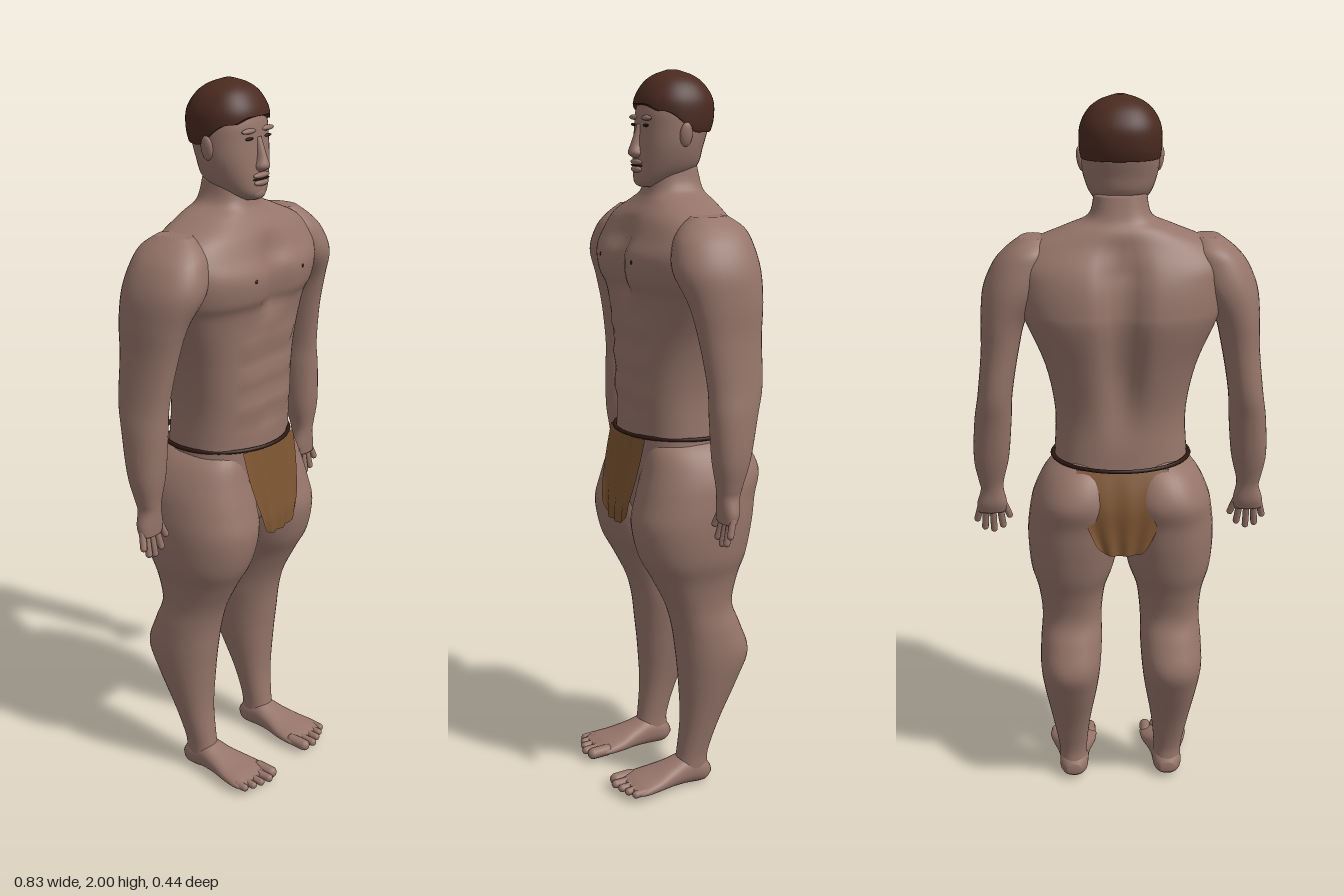
import * as THREE from 'three';

const mat = (name, color, side = THREE.FrontSide) => {
  const m = new THREE.MeshStandardMaterial({ color, side });
  m.name = name;
  return m;
};

// Uniform Catmull-Rom through one column of the section rows
function spline(rows, col, u) {
  const i = Math.min(Math.floor(u), rows.length - 2), f = u - i;
  const at = k => rows[Math.max(0, Math.min(rows.length - 1, k))][col];
  const a = at(i - 1), b = at(i), c = at(i + 1), d = at(i + 2);
  return b + 0.5 * f * (c - a + f * (2 * a - 5 * b + 4 * c - d + f * (3 * (b - c) + d - a)));
}

// Rows are [t, x0, x1, b0, b1]; t runs along y (b is z), or along z (b is y) if alongZ.
function loft(rows, { power = 2.2, sides = 36, steps = 5, alongZ = false, mirror = false, warp } = {}) {
  rows = [...rows].sort((p, q) => p[0] - q[0]);
  const pos = [], index = [], n = (rows.length - 1) * steps;
  const se = v => Math.sign(v) * Math.abs(v) ** (2 / power);
  for (let j = -1; j <= n + 1; j++) {
    const u = Math.max(0, Math.min(n, j)) / steps;
    const k = j < 0 || j > n ? 0.001 : 1; // closing rings
    const [t, x0, x1, b0, b1] = [0, 1, 2, 3, 4].map(c => spline(rows, c, u));
    for (let i = 0; i < sides; i++) {
      const a = (i / sides) * Math.PI * 2;
      const x = (x0 + x1) / 2 + (k * (x1 - x0) / 2) * se(Math.cos(a));
      const b = (b0 + b1) / 2 + (k * (b1 - b0) / 2) * se(Math.sin(a));
      let p = alongZ ? [x, b, t] : [x, t, b];
      if (warp) p = warp(...p);
      pos.push(mirror ? -p[0] : p[0], p[1], p[2]);
    }
  }
  const flip = alongZ !== mirror;
  for (let j = 0; j < n + 2; j++) for (let i = 0; i < sides; i++) {
    const a = j * sides + i, b = j * sides + (i + 1) % sides, c = a + sides, d = b + sides;
    index.push(...(flip ? [a, b, c, b, d, c] : [a, c, b, b, c, d]));
  }
  const g = new THREE.BufferGeometry();
  g.setAttribute('position', new THREE.Float32BufferAttribute(pos, 3));
  g.setIndex(index);
  g.computeVertexNormals();
  return g;
}

// Sections symmetric about x = 0: [y, halfWidth, back, front]
const sym = rows => rows.map(([y, w, b, f]) => [y, -w, w, b, f]);
const smooth = THREE.MathUtils.smoothstep;

export function createModel() {
  const model = new THREE.Group();
  const skin = mat('skin', 0x96756a), hair = mat('hair', 0x4a2a20);
  const cloth = mat('cloth', 0x7d5532, THREE.DoubleSide), dark = mat('dark cord', 0x2c1710);
  const add = (name, geo, m) => {
    const mesh = new THREE.Mesh(geo, m);
    mesh.name = name;
    model.add(mesh);
    return mesh;
  };
  const ball = (name, m, p, r) => {
    const mesh = add(name, new THREE.SphereGeometry(1, 16, 12), m);
    mesh.position.set(...p);
    mesh.scale.set(...r);
    return mesh;
  };
  // Rounded digit between two points
  const digit = (name, from, to, r) => {
    const a = new THREE.Vector3(...from), b = new THREE.Vector3(...to), d = b.clone().sub(a);
    const mesh = add(name, new THREE.CapsuleGeometry(r, d.length(), 5, 10), skin);
    mesh.position.copy(a).add(b).multiplyScalar(0.5);
    mesh.quaternion.setFromUnitVectors(new THREE.Vector3(0, 1, 0), d.normalize());
  };

  // Torso and neck, with breastbone, spine and belly modelling
  add('torso', loft(sym([
    [0.74, 0.02, -0.05, 0.03], [0.8, 0.1, -0.11, 0.09], [0.88, 0.16, -0.14, 0.11],
    [0.95, 0.19, -0.165, 0.115], [1.04, 0.183, -0.16, 0.115], [1.16, 0.18, -0.155, 0.12],
    [1.29, 0.205, -0.175, 0.12], [1.41, 0.255, -0.197, 0.127], [1.46, 0.275, -0.196, 0.146],
    [1.52, 0.285, -0.185, 0.15], [1.57, 0.285, -0.165, 0.125], [1.62, 0.24, -0.135, 0.1],
    [1.66, 0.15, -0.118, 0.07], [1.69, 0.085, -0.1, 0.055], [1.75, 0.07, -0.085, 0.045],
  ]), {
    power: 2.5, sides: 72,
    warp: (x, y, z) => {
      const g = Math.exp(-((x / 0.045) ** 2));
      const chest = smooth(y, 1.36, 1.46) * (1 - smooth(y, 1.54, 1.64));
      const belly = smooth(y, 1.06, 1.12) * (1 - smooth(y, 1.32, 1.4));
      const spine = smooth(y, 1.06, 1.3) * (1 - smooth(y, 1.54, 1.66));
      if (z > 0.03) z -= g * (0.03 * chest + 0.008 * belly) + (Math.abs(x) < 0.12 ? 0.004 * belly * Math.sin(y * 70) : 0);
      if (z < -0.05) z += g * 0.045 * spine;
      return [x, y, z];
    },
  }), skin);

  // Head and hair
  add('head', loft(sym([
    [1.697, 0.025, 0.02, 0.07], [1.715, 0.055, -0.03, 0.084], [1.75, 0.082, -0.085, 0.084],
    [1.8, 0.099, -0.1, 0.08], [1.85, 0.103, -0.114, 0.076], [1.9, 0.1, -0.12, 0.071],
    [1.95, 0.08, -0.1, 0.048], [1.98, 0.04, -0.06, 0.01],
  ])), skin);
  add('hair', loft(sym([
    [1.83, 0.102, -0.117, 0.07], [1.87, 0.108, -0.13, 0.077], [1.92, 0.106, -0.13, 0.078],
    [1.96, 0.086, -0.108, 0.058], [1.985, 0.055, -0.077, 0.03], [2.0, 0.012, -0.035, -0.01],
  ]), {
    sides: 48, steps: 8,
    warp: (x, y, z) => [x, Math.max(y, 1.84 + 0.055 * smooth(z, -0.05, 0.04) + 0.018 * smooth(z, 0.05, 0.075)), z],
  }), hair);

  // Face
  add('nose', loft([
    [1.772, -0.012, 0.012, 0.06, 0.088], [1.785, -0.022, 0.022, 0.06, 0.104],
    [1.81, -0.014, 0.014, 0.06, 0.097], [1.86, -0.01, 0.01, 0.05, 0.079],
  ], { sides: 16 }), skin);
  ball('upperLip', skin, [0, 1.762, 0.082], [0.034, 0.008, 0.009]);
  ball('lowerLip', skin, [0, 1.743, 0.082], [0.03, 0.009, 0.01]);
  ball('mouthLine', dark, [0, 1.753, 0.082], [0.036, 0.003, 0.0085]);
  ball('chin', skin, [0, 1.716, 0.07], [0.03, 0.018, 0.016]);

  // Limbs and paired details
  const legRows = [
    [1.05, 0.05, 0.14, -0.12, 0.06], [1.0, 0.015, 0.205, -0.185, 0.095], [0.93, 0, 0.243, -0.22, 0.115],
    [0.86, -0.003, 0.257, -0.205, 0.135], [0.79, 0.002, 0.262, -0.195, 0.15], [0.7, 0.02, 0.255, -0.175, 0.132],
    [0.63, 0.045, 0.235, -0.15, 0.095], [0.55, 0.055, 0.225, -0.135, 0.055], [0.48, 0.055, 0.23, -0.16, 0.035],
    [0.4, 0.06, 0.232, -0.185, 0.025], [0.32, 0.07, 0.222, -0.155, 0.017], [0.2, 0.09, 0.2, -0.1, 0.012],
    [0.1, 0.1, 0.183, -0.068, 0.022], [0.05, 0.1, 0.18, -0.068, 0.03], [0.015, 0.108, 0.172, -0.06, 0.02],
  ];
  const footRows = [
    [-0.075, 0.12, 0.16, 0.02, 0.05], [-0.05, 0.1, 0.18, 0.004, 0.08], [0, 0.095, 0.182, 0.004, 0.092],
    [0.05, 0.087, 0.19, 0.006, 0.075], [0.1, 0.073, 0.203, 0.008, 0.058], [0.15, 0.068, 0.211, 0.01, 0.046],
    [0.178, 0.075, 0.203, 0.016, 0.036],
  ];
  const armRows = [
    [1.635, 0.2, 0.265, -0.07, 0.03], [1.605, 0.18, 0.305, -0.11, 0.065], [1.565, 0.18, 0.34, -0.125, 0.09],
    [1.5, 0.2, 0.368, -0.135, 0.1], [1.42, 0.252, 0.376, -0.13, 0.072], [1.33, 0.275, 0.378, -0.122, 0.05],
    [1.21, 0.295, 0.39, -0.118, 0.032], [1.13, 0.3, 0.402, -0.1, 0.03], [1.02, 0.31, 0.408, -0.076, 0.025],
    [0.95, 0.326, 0.397, -0.055, 0.015], [0.92, 0.328, 0.392, -0.048, 0.012], [0.88, 0.32, 0.403, -0.044, 0.01],
    [0.852, 0.325, 0.402, -0.034, 0.008],
  ];
  for (const [side, s] of [['left', 1], ['right', -1]]) {
    const mirror = s < 0;
    add(side + 'Leg', loft(legRows, { mirror }), skin);
    add(side + 'Foot', loft(footRows, { mirror, alongZ: true }), skin);
    add(side + 'Arm', loft(armRows, { mirror }), skin);

    // [x, tip z, radius]
    for (const [x, z, r] of [[0.087, 0.21, 0.017], [0.115, 0.217, 0.012], [0.145, 0.209, 0.011], [0.171, 0.2, 0.011], [0.196, 0.188, 0.011]])
      digit(side + 'Toe', [s * x, 0.03, 0.15], [s * x, 0.027, z - r], r);

    // [root x, root y, tip x, tip y]
    for (const [x0, y0, x1, y1] of [[0.332, 0.885, 0.314, 0.835], [0.34, 0.86, 0.333, 0.805], [0.36, 0.86, 0.359, 0.793], [0.379, 0.86, 0.384, 0.8], [0.395, 0.865, 0.405, 0.825]])
      digit(side + 'Finger', [s * x0, y0, -0.015], [s * x1, y1, -0.003], 0.0095);

    ball(side + 'Ear', skin, [s * 0.104, 1.835, -0.015], [0.01, 0.032, 0.018]).rotation.z = -s * 0.15;
    ball(side + 'Brow', skin, [s * 0.04, 1.877, 0.07], [0.028, 0.007, 0.009]);
    ball(side + 'Eye', dark, [s * 0.04, 1.858, 0.072], [0.016, 0.004, 0.005]);
    ball(side + 'Nipple', dark, [s * 0.105, 1.51, 0.143], [0.006, 0.006, 0.004]);
  }

  // Loincloth: two draped flaps with soft folds
  const flap = (name, topW, lowW, y0, y1, zAt) => {
    const g = new THREE.PlaneGeometry(2, 1, 32, 20), p = g.attributes.position;
    for (let i = 0; i < p.count; i++) {
      const u = p.getX(i), v = 0.5 - p.getY(i);
      const w = THREE.MathUtils.lerp(topW, lowW, v * v);
      const y = THREE.MathUtils.lerp(y0, y1 + 0.035 * u ** 4, v);
      p.setXYZ(i, u * w, y, zAt(u, v) + 0.004 * v * Math.sin(u * 11));
    }
    g.computeVertexNormals();
    add(name, g, cloth);
  };
  flap('frontFlap', 0.118, 0.078, 1.03, 0.775, (u, v) => 0.124 + 0.03 * Math.min(1, v * 1.2) - 0.012 * u * u * (1 - v));
  flap('backFlap', 0.125, 0.075, 1.025, 0.79, (u, v) => -0.17 - 0.038 * Math.sin(Math.min(1, v * 1.8) * Math.PI / 2) + 0.01 * u * u * (1 - v));

  // Waist cord
  const cord = add('waistCord', new THREE.TorusGeometry(1, 0.035, 8, 64), dark);
  cord.rotation.x = Math.PI / 2;
  cord.scale.set(0.188, 0.168, 0.16);
  cord.position.set(0, 1.033, -0.034);

  return model;
}
